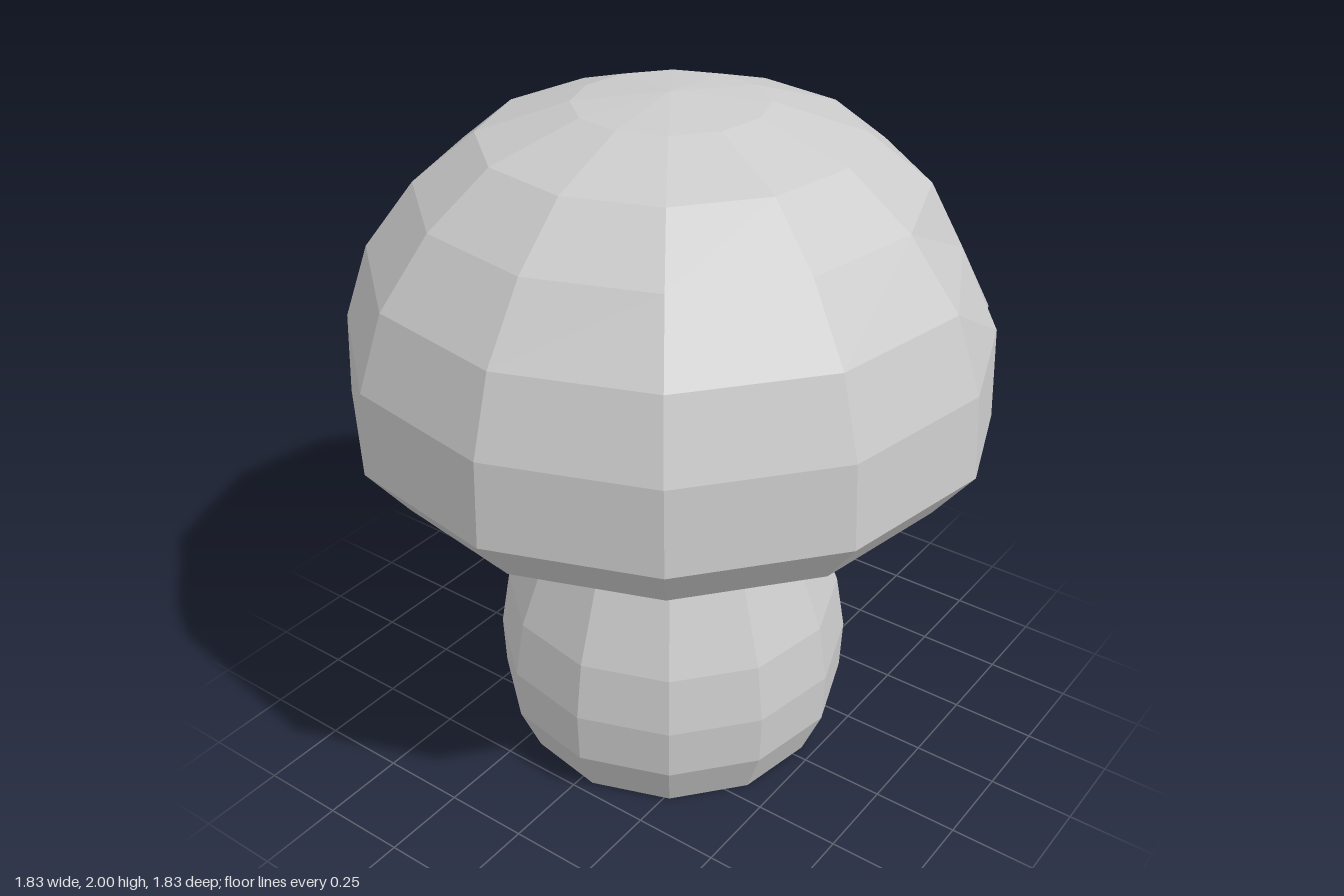
import * as THREE from 'three';

const SIDES = 12;
const START = THREE.MathUtils.degToRad(5);
const STEP = (Math.PI * 2) / SIDES;

const material = () => new THREE.MeshStandardMaterial({
  color: 0xcccccc, flatShading: true,
});

function ringPoint(radius, y, column) {
  const a = START + column * STEP;
  return new THREE.Vector3(radius * Math.sin(a), y, radius * Math.cos(a));
}

// Faceted dome whose column 1 opens into a wedge-shaped notch near the rim
function createCapGeometry() {
  // radius, height, notch half-spread (share of a side), radius of the notch crease
  const rings = [
    [0, 0.973, 0, 0],
    [0.805, 0.973, 0.31, 0.805],
    [0.918, 1.117, 0.28, 0.83],
    [0.905, 1.355, 0.17, 0.81],
    [0.832, 1.565, 0, 0.785],
    [0.69, 1.75, 0, 0.69],
    [0.515, 1.89, 0, 0.515],
    [0.262, 1.973, 0, 0.262],
    [0, 2, 0, 0],
  ].map(([r, y, spread, crease]) => {
    const points = [];
    for (let c = 0; c <= SIDES; c++) {
      const p = ringPoint(r, y, c);
      if (c !== 1) { points.push(p); continue; }
      const mid = ringPoint(crease, y, 1);
      if (spread === 0) points.push(mid, mid, mid);
      else points.push(
        p.clone().lerp(ringPoint(r, y, 0), spread),
        mid,
        p.clone().lerp(ringPoint(r, y, 2), spread),
      );
    }
    return points;
  });

  const positions = [];
  const triangle = (a, b, c) => {
    const area = b.clone().sub(a).cross(c.clone().sub(a)).length();
    if (area > 1e-6) for (const p of [a, b, c]) positions.push(p.x, p.y, p.z);
  };
  for (let i = 0; i < rings.length - 1; i++) {
    const low = rings[i], high = rings[i + 1];
    for (let j = 0; j < low.length - 1; j++) {
      const [a, b, c, d] = [low[j], low[j + 1], high[j + 1], high[j]];
      // Mirror the diagonals on either side of the notch
      if (j < 2) { triangle(a, b, d); triangle(b, c, d); }
      else { triangle(a, b, c); triangle(a, c, d); }
    }
  }
  const geometry = new THREE.BufferGeometry();
  geometry.setAttribute('position', new THREE.Float32BufferAttribute(positions, 3));
  geometry.computeVertexNormals();
  return geometry;
}

export function createModel() {
  const model = new THREE.Group();
  model.name = 'mushroom';

  // Cap, tipped very slightly backwards about its rim
  const cap = new THREE.Mesh(createCapGeometry(), material());
  cap.name = 'cap';
  const tilt = new THREE.Group();
  tilt.name = 'capTilt';
  tilt.position.y = 1.117;
  tilt.rotation.set(-0.01, 0, -0.003);
  cap.position.y = -1.117;
  tilt.add(cap);
  model.add(tilt);

  // Bulbous stem, closed at the foot
  const profile = [
    [0, 0], [0.462, 0], [0.522, 0.145], [0.528, 0.3],
    [0.5, 0.47], [0.4, 0.735], [0.295, 0.975],
  ].map(([r, y]) => new THREE.Vector2(r, y));
  const stem = new THREE.Mesh(new THREE.LatheGeometry(profile, SIDES, START), material());
  stem.name = 'stem';
  model.add(stem);

  return model;
}
